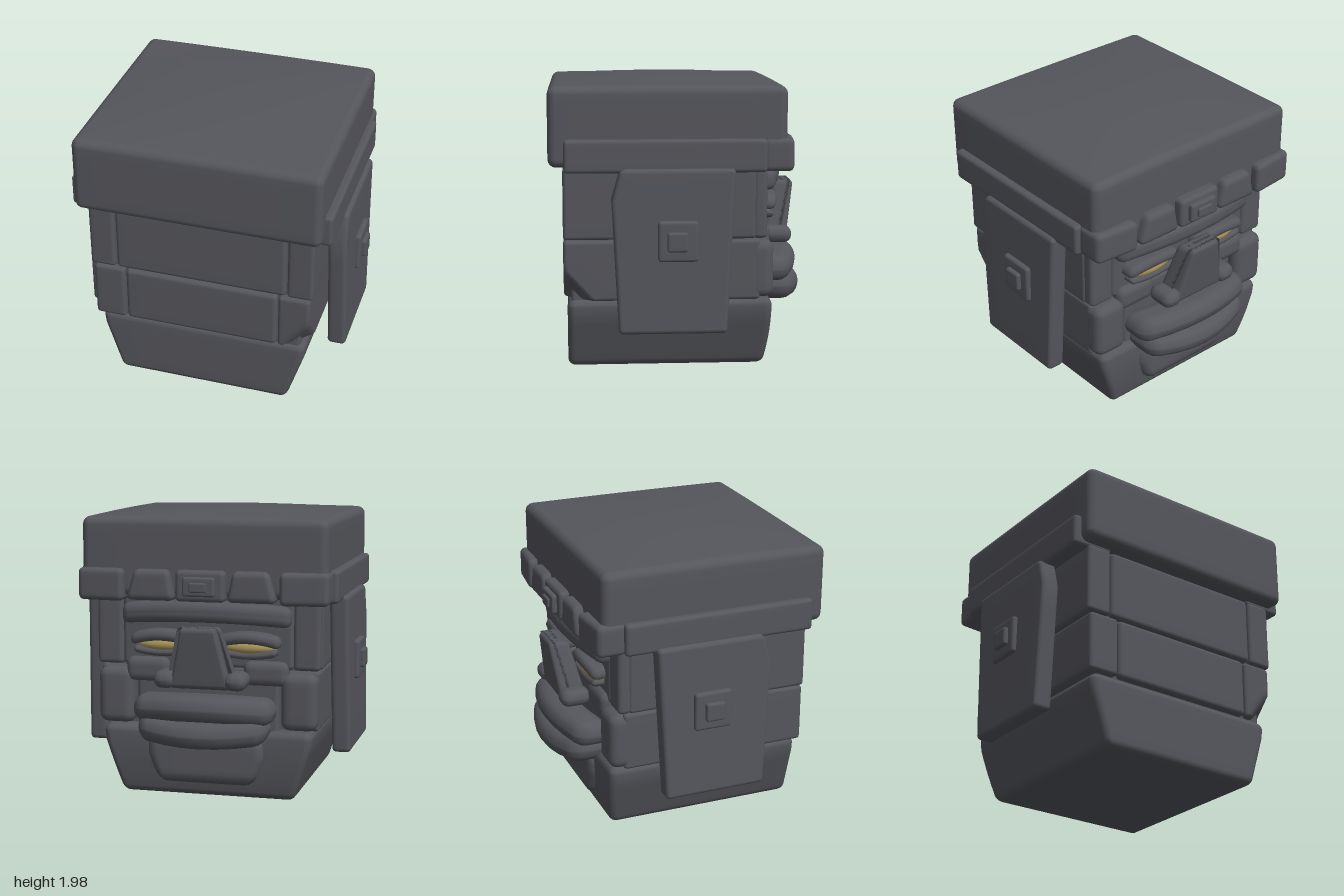
import * as THREE from 'three';
import { mergeVertices } from 'three/addons/utils/BufferGeometryUtils.js';

const stoneGrey = new THREE.MeshStandardMaterial({ color: 0x55565c });
stoneGrey.name = 'stone grey';
const eyeGold = new THREE.MeshStandardMaterial({ color: 0xa8935a });
eyeGold.name = 'eye gold';

const N = 10; // grid divisions per block side

// Rounded block between two corners; bend(p) may move each vertex by a rule.
function blockGeometry([x0, x1], [y0, y1], [z0, z1], r, bend) {
  const centre = new THREE.Vector3(x0 + x1, y0 + y1, z0 + z1).multiplyScalar(0.5);
  const half = new THREE.Vector3(x1 - x0, y1 - y0, z1 - z0).multiplyScalar(0.5);
  r = Math.min(r, half.x * 0.98, half.y * 0.98, half.z * 0.98);
  let geo = new THREE.BoxGeometry(2, 2, 2, N, N, N);
  geo.deleteAttribute('uv');
  geo.deleteAttribute('normal');
  geo = mergeVertices(geo, 1e-4);
  // grid lines gather in the rounded edge zone
  const place = (u, h) => {
    const i = Math.round((u + 1) * N / 2), k = Math.min(i, N - i), side = Math.sign(u);
    if (k === 0) return side * h;
    if (k === 1) return side * (h - 0.586 * r);
    return (i - N / 2) / (N / 2 - 2) * (h - r);
  };
  const pos = geo.attributes.position, p = new THREE.Vector3(), inner = new THREE.Vector3();
  const limit = half.clone().subScalar(r), low = limit.clone().negate();
  for (let i = 0; i < pos.count; i++) {
    p.fromBufferAttribute(pos, i);
    p.set(place(p.x, half.x), place(p.y, half.y), place(p.z, half.z));
    inner.copy(p).clamp(low, limit);
    p.sub(inner).setLength(r).add(inner).add(centre);
    if (bend) bend(p);
    pos.setXYZ(i, p.x, p.y, p.z);
  }
  geo.computeVertexNormals();
  return geo;
}

export function createModel() {
  const model = new THREE.Group();
  model.name = 'stoneHead';

  const block = (name, x, y, z, r = 0.025, bend) => {
    const mesh = new THREE.Mesh(blockGeometry(x, y, z, r, bend), stoneGrey);
    mesh.name = name;
    model.add(mesh);
  };
  // The same block on both sides; s is +1 for left, -1 for right.
  const pair = (name, [a, b], y, z, r, bend) => {
    for (const s of [1, -1]) {
      const mirrored = bend && (p => { p.x *= s; bend(p, s); p.x *= s; });
      block((s > 0 ? 'left' : 'right') + name, s > 0 ? [a, b] : [-b, -a], y, z, r, mirrored);
    }
  };

  // Inner core behind the joints
  block('core', [-0.7, 0.7], [0.3, 1.5], [-0.5, 0.74]);

  // Flat cap with a slightly domed top
  block('cap', [-0.85, 0.85], [1.4, 1.935], [-0.7, 0.885], 0.055, p => {
    const fx = 1 - (p.x / 0.85) ** 2, fz = 1 - ((p.z - 0.09) / 0.8) ** 2;
    if (p.y > 1.8) p.y += 0.047 * Math.max(0, fx) * Math.max(0, fz);
  });

  // Head band
  pair('Band', [0.6, 0.9], [1.37, 1.59], [-0.56, 0.78], 0.025);
  pair('BandCorner', [0.54, 0.865], [1.37, 1.59], [-0.77, -0.54], 0.035, p => {
    if (p.z < -0.65) p.z += 0.03 * (p.x - 0.54) / 0.32;
  });
  pair('BandStone', [0.18, 0.52], [1.38, 1.59], [-0.77, -0.56], 0.04, p => {
    const t = (p.y - 1.38) / 0.21;
    p.x += (0.32 - p.x) * 0.3 * t;
  });
  block('bandCentre', [-0.17, 0.17], [1.38, 1.59], [-0.77, -0.56], 0.03);
  block('bandPlate', [-0.11, 0.11], [1.42, 1.55], [-0.805, -0.74], 0.015);
  block('bandStud', [-0.06, 0.06], [1.45, 1.515], [-0.822, -0.78], 0.01);

  // Two courses of wall blocks
  block('upperWall', [-0.6, 0.6], [0.91, 1.39], [0.4, 0.79], 0.03);
  block('lowerWall', [-0.54, 0.54], [0.49, 0.9], [0.4, 0.79], 0.03);
  pair('UpperSide', [0.61, 0.79], [0.91, 1.39], [-0.5, 0.79], 0.025);
  pair('LowerSide', [0.55, 0.77], [0.49, 0.9], [-0.53, 0.79], 0.025, (p, s) => {
    // one chipped corner
    const chip = Math.max(0, (p.x - 0.58) / 0.19 - (p.y - 0.49) / 0.22);
    if (s > 0 && p.z > 0.5) p.z -= 0.2 * chip;
  });

  // Jaw, narrowing towards the base
  block('jaw', [-0.735, 0.735], [0.005, 0.49], [-0.62, 0.765], 0.05, p => {
    const t = Math.max(0, 0.4 - p.y) / 0.4;
    p.x *= 1 - 0.175 * t;
    if (p.z < 0) p.z += 0.05 * t * t;
    // hollow under the mouth
    if (p.y > 0.3 && Math.abs(p.x) < 0.4 && p.z < -0.5) p.y -= 0.1;
  });
  block('chin', [-0.42, 0.42], [0.1, 0.45], [-0.655, -0.45], 0.08, p => {
    p.x *= 0.8 + 0.2 * Math.min(1, (p.y - 0.1) / 0.2);
  });

  // Face panels
  block('upperFace', [-0.6, 0.6], [0.91, 1.4], [-0.57, -0.4], 0.03);
  block('lowerFace', [-0.5, 0.5], [0.42, 0.92], [-0.57, -0.4], 0.03);
  pair('Temple', [0.6, 0.785], [0.91, 1.39], [-0.575, -0.48], 0.03);
  pair('Cheek', [0.52, 0.77], [0.5, 0.89], [-0.625, -0.45], 0.06);
  pair('CheekBone', [0.26, 0.57], [0.8, 0.97], [-0.62, -0.5], 0.05);

  // Brow, bowed forward with drooping ends
  block('brow', [-0.59, 0.59], [1.235, 1.375], [-0.74, -0.53], 0.05, p => {
    const t = (p.x / 0.59) ** 2;
    p.z += 0.1 * t;
    p.y -= 0.035 * t;
  });

  // Eyes and lids
  const eyeShape = new THREE.SphereGeometry(1, 24, 16);
  for (const s of [1, -1]) {
    const eye = new THREE.Mesh(eyeShape, eyeGold);
    eye.name = s > 0 ? 'leftEye' : 'rightEye';
    eye.position.set(0.3 * s, 1.065, -0.57);
    eye.scale.set(0.2, 0.06, 0.09);
    model.add(eye);
  }
  pair('UpperLid', [0.08, 0.52], [1.095, 1.175], [-0.69, -0.55], 0.035, p => {
    const t = ((p.x - 0.3) / 0.22) ** 2;
    p.y -= 0.04 * t;
    p.z += 0.03 * t;
  });
  pair('LowerLid', [0.1, 0.5], [0.985, 1.035], [-0.655, -0.55], 0.025, p => {
    p.y += 0.025 * ((p.x - 0.3) / 0.2) ** 2;
  });

  // Wedge nose, narrow and leaning out at the top
  block('nose', [-0.25, 0.25], [0.79, 1.215], [-0.84, -0.6], 0.035, p => {
    const t = (p.y - 0.79) / 0.425;
    p.x *= 1 - 0.45 * t;
    if (p.z < -0.72) {
      p.x *= 0.85;
      p.z += 0.06 * (1 - t);
    } else p.z -= 0.1 * t;
  });
  pair('Nostril', [0.17, 0.32], [0.79, 0.91], [-0.81, -0.6], 0.055);

  // Full lips, curved round the face
  const lip = (name, half, y, front, droop) =>
    block(name, [-half, half], y, [front, -0.6], 0.085, p => {
      const t = (p.x / half) ** 2;
      p.z += 0.11 * t;
      p.y += droop * t;
    });
  lip('upperLip', 0.49, [0.57, 0.75], -0.865, -0.03);
  lip('lowerLip', 0.45, [0.39, 0.57], -0.89, 0.03);

  // Ear flaps, tapering down and splayed slightly outwards
  pair('EarFlap', [0.8, 0.93], [0.3, 1.4], [-0.35, 0.48], 0.03, p => {
    const t = (p.y - 0.3) / 1.1;
    p.z = 0.065 + (p.z - 0.065) * (0.865 + 0.135 * t);
    p.x += 0.02 * (1 - t);
    if (p.z > 0.4) p.z -= Math.max(0, p.y - 1.28) * 0.65;
  });
  pair('EarPlate', [0.88, 0.97], [0.79, 1.06], [-0.1, 0.165], 0.02);
  pair('EarStud', [0.92, 1.0], [0.86, 0.99], [-0.03, 0.105], 0.015);

  return model;
}
